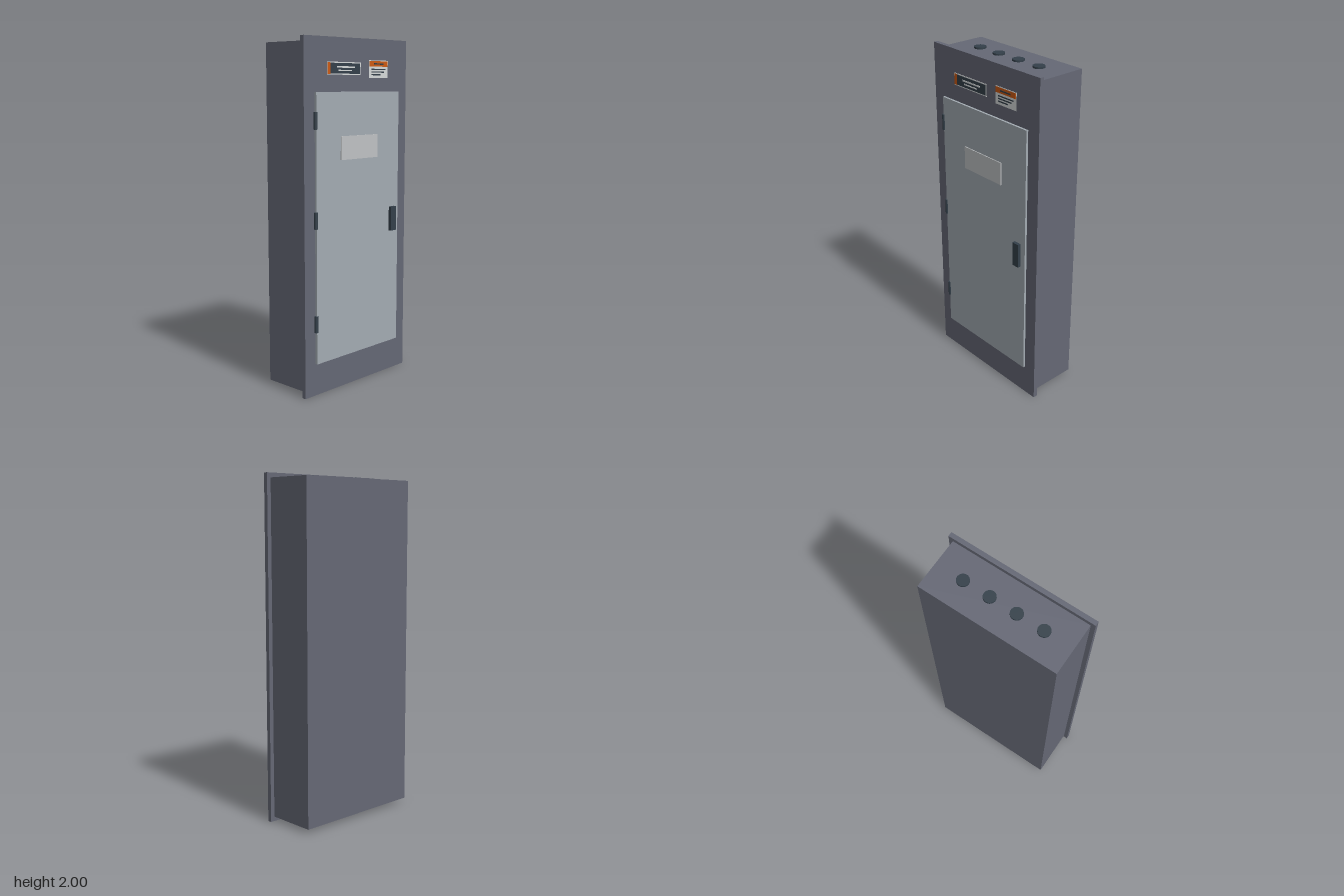
import * as THREE from 'three';

const mat = (name, color) => {
  const m = new THREE.MeshStandardMaterial({ color });
  m.name = name;
  return m;
};

export function createModel() {
  const steel = mat('slate grey steel', 0x656875);
  const doorGrey = mat('light grey door', 0xa3abb2);
  const plateGrey = mat('pale plate', 0xbfc2c4);
  const dark = mat('dark fittings', 0x34404a);
  const orange = mat('warning orange', 0xcc5a12);
  const white = mat('label white', 0xd6d9da);

  const model = new THREE.Group();
  model.name = 'electricalCabinet';

  const add = (parent, name, geometry, material, x, y, z) => {
    const mesh = new THREE.Mesh(geometry, material);
    mesh.name = name;
    mesh.position.set(x, y, z);
    parent.add(mesh);
    return mesh;
  };
  // Box given by its limits on each axis
  const box = (parent, name, material, [x0, x1], [y0, y1], [z0, z1]) =>
    add(parent, name, new THREE.BoxGeometry(x1 - x0, y1 - y0, z1 - z0), material,
      (x0 + x1) / 2, (y0 + y1) / 2, (z0 + z1) / 2);

  // Enclosure, front flange and door
  box(model, 'enclosure', steel, [-0.402, 0.402], [0.027, 1.973], [-0.178, 0.119]);
  box(model, 'frontFlange', steel, [-0.427, 0.427], [0, 2], [0.119, 0.145]);
  box(model, 'door', doorGrey, [-0.346, 0.346], [0.185, 1.703], [0.145, 0.158]);
  box(model, 'directoryPlate', plateGrey, [-0.155, 0.152], [1.325, 1.458], [0.158, 0.163]);
  box(model, 'doorHandle', dark, [0.265, 0.311], [0.874, 1.019], [0.158, 0.177]);

  // Hinge barrels along the door's edge
  const barrel = new THREE.CylinderGeometry(0.011, 0.011, 0.094, 16);
  for (const y of [0.417, 1.003, 1.549]) add(model, 'hinge', barrel, dark, -0.348, y, 0.154);

  // Conduit knockouts on the top and bottom
  const knockout = new THREE.CylinderGeometry(0.034, 0.034, 0.01, 32);
  for (const y of [1.978, 0.022]) {
    for (let i = 0; i < 4; i++) {
      add(model, 'knockout', knockout, dark, (i - 1.5) * 0.157, y, -0.03);
    }
  }

  // Each label layer sits slightly in front of the last
  const layer = (n) => [0.145, 0.147 + n * 0.0015];

  // Wide rating label
  const rating = new THREE.Group();
  rating.name = 'ratingLabel';
  model.add(rating);
  box(rating, 'border', white, [-0.251, 0.021], [1.796, 1.866], layer(0));
  box(rating, 'panel', dark, [-0.225, 0.015], [1.802, 1.86], layer(1));
  box(rating, 'orangeBlock', orange, [-0.247, -0.225], [1.8, 1.862], layer(1));
  box(rating, 'line', white, [-0.177, -0.03], [1.834, 1.843], layer(2));
  box(rating, 'line', white, [-0.165, -0.055], [1.816, 1.823], layer(2));

  // Warning label
  const warning = new THREE.Group();
  warning.name = 'warningLabel';
  model.add(warning);
  box(warning, 'backing', white, [0.093, 0.257], [1.78, 1.88], layer(0));
  box(warning, 'header', orange, [0.097, 0.253], [1.845, 1.876], layer(1));
  box(warning, 'headerBar', dark, [0.135, 0.215], [1.856, 1.864], layer(2));
  [0.235, 0.22, 0.192].forEach((x1, i) => {
    const y = 1.829 - i * 0.015;
    box(warning, 'line', dark, [0.114, x1], [y - 0.0035, y + 0.0035], layer(1));
  });

  return model;
}
